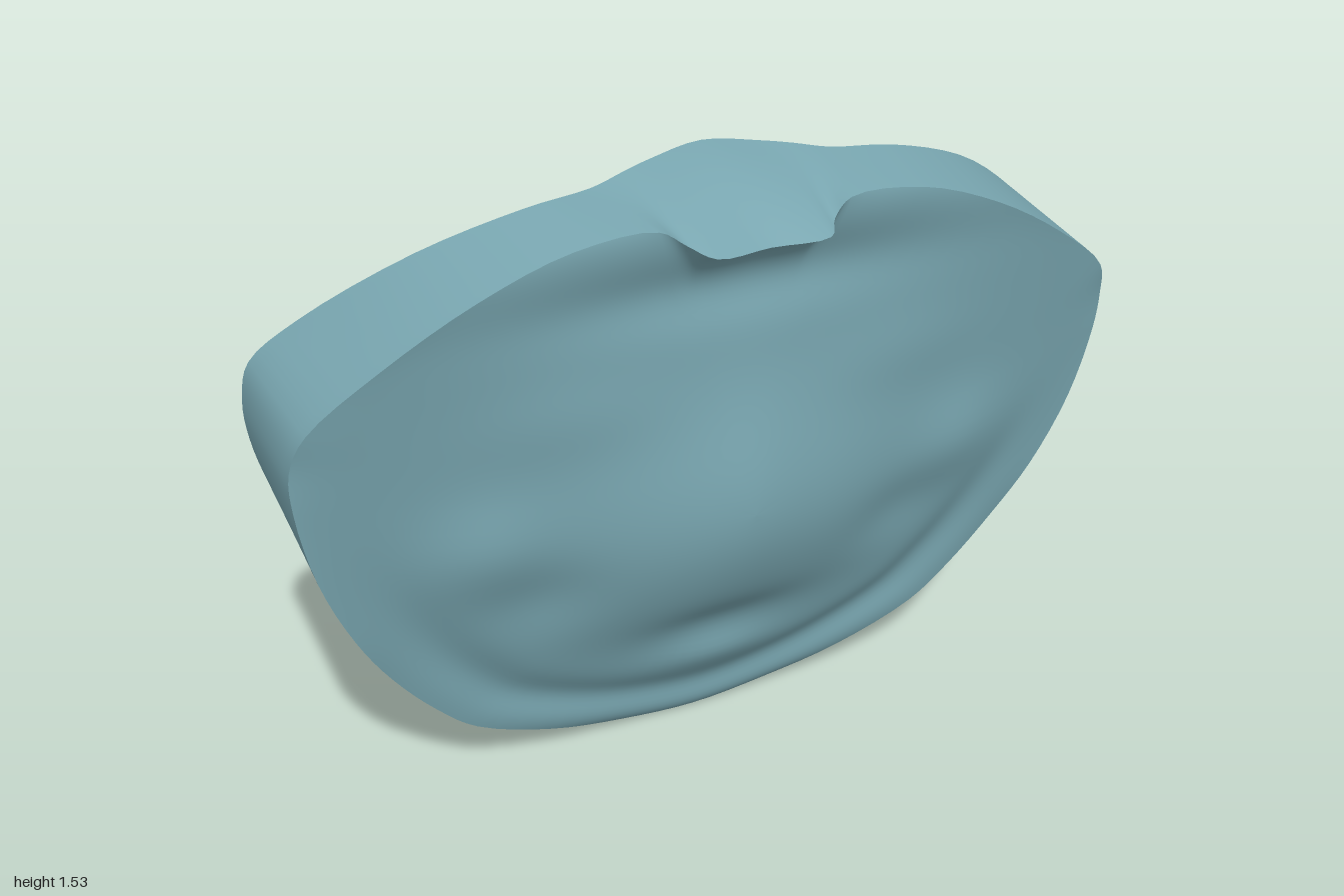
import * as THREE from 'three';

// Right half of each rim, bottom centre to top centre
const FRONT = [
  [0, 0, .01], [.2, .025, .02], [.4, .085, .05], [.6, .185, .08], [.7, .285, .10], [.8, .42, .125],
  [.88, .57, .16], [.95, .76, .19], [.985, .95, .21], [.985, 1.05, .22], [.95, 1.14, .25], [.8, 1.26, .28],
  [.6, 1.375, .30], [.4, 1.445, .305], [.22, 1.455, .31], [.17, 1.425, .33], [.13, 1.41, .385], [0, 1.405, .37],
];
const BACK = [
  [0, .08, -.385], [.2, .10, -.38], [.4, .15, -.37], [.6, .25, -.33], [.7, .34, -.31], [.8, .46, -.28],
  [.88, .60, -.24], [.95, .79, -.19], [.99, .95, -.14], [1, 1.07, -.10], [.98, 1.16, -.08], [.88, 1.25, -.04],
  [.65, 1.40, .07], [.43, 1.475, .12], [.28, 1.49, .11], [.2, 1.505, .09], [.13, 1.515, .07], [0, 1.53, .05],
];

// Relief bumps, mirrored in x: [x, y, height, x radius, y radius]
const FRONT_RELIEF = [
  [0, .66, .145, .5, .36], [0, .82, .015, .12, .25],              // central swell
  [.6, .74, .025, .13, .12], [.45, .58, -.015, .12, .1],          // cheeks and hollows
  [0, 1.3, -.03, .45, .08], [.4, 1.05, .01, .2, .1],              // recess under the top lip
  [0, .36, -.03, .2, .08], [0, .24, .012, .15, .05],              // lower dent and ridge
];
const BACK_RELIEF = [
  [0, .29, .07, .75, .2], [0, .62, .015, .7, .3],                 // lower hollow
  [0, .48, -.02, .1, .09],                                        // lower knob
  [.37, 1.17, -.022, .13, .1], [.3, 1.34, .025, .4, .1],          // upper knobs and hollows
  [.65, 1.0, .02, .12, .16], [.7, 1.15, -.01, .12, .1],
];

function relief(list, x, y) {
  return list.reduce((sum, [cx, cy, h, rx, ry]) =>
    sum + h * Math.exp(-(((Math.abs(x) - cx) / rx) ** 2) - ((y - cy) / ry) ** 2), 0);
}

const frontZ = (x, y) => .04 + .19 * y + relief(FRONT_RELIEF, x, y);
const backZ = (x, y) => -.4 + .27 * y + relief(BACK_RELIEF, x, y);

const SEGMENTS = 136;

// Closed smooth rim, counter-clockwise from the front
function rimPoints(half) {
  const mirrored = half.slice(1, -1).reverse().map(([x, y, z]) => [-x, y, z]);
  const pts = [...half, ...mirrored].map(p => new THREE.Vector3(...p));
  const curve = new THREE.CatmullRomCurve3(pts, true);
  return Array.from({ length: SEGMENTS }, (_, i) => curve.getPoint(i / SEGMENTS));
}

// Joins successive closed loops into one smooth surface
function loft(loops, flip) {
  const positions = [], index = [];
  loops.forEach(loop => loop.forEach(p => positions.push(p.x, p.y, p.z)));
  for (let j = 0; j < loops.length - 1; j++) {
    for (let i = 0; i < SEGMENTS; i++) {
      const a = j * SEGMENTS + i, b = j * SEGMENTS + (i + 1) % SEGMENTS;
      const c = a + SEGMENTS, d = b + SEGMENTS;
      if (flip) index.push(a, d, c, a, b, d);
      else index.push(a, c, d, a, d, b);
    }
  }
  const g = new THREE.BufferGeometry();
  g.setAttribute('position', new THREE.Float32BufferAttribute(positions, 3));
  g.setIndex(index);
  g.computeVertexNormals();
  return g;
}

// Relief face: loops grow from the middle and settle onto the rim,
// with a shallow trough inside its lower half
function faceLoops(rim, height, sharpness, trough) {
  const rings = 40, cy = .75;
  return Array.from({ length: rings + 1 }, (_, j) => {
    const r = 1 - (1 - j / rings) ** 1.5;
    const dip = trough * Math.exp(-(((r - .86) / .08) ** 2)) * (1 - r ** 12);
    return rim.map(p => {
      const x = p.x * r, y = cy + (p.y - cy) * r;
      const low = 1 - THREE.MathUtils.smoothstep(p.y, .2, .9);
      const z = height(x, y) + (p.z - height(p.x, p.y)) * r ** sharpness + dip * low;
      return new THREE.Vector3(x, y, z);
    });
  });
}

// Band between the rims, slightly raised behind the notch at the top
function bandLoops(front, back) {
  const steps = 10;
  return Array.from({ length: steps + 1 }, (_, j) => front.map((f, i) => {
    const p = f.clone().lerp(back[i], j / steps);
    if (f.y > 1.3) p.y += .02 * Math.sin(Math.PI * j / steps) * Math.exp(-((p.x / .16) ** 2));
    return p;
  }));
}

export function createModel() {
  const group = new THREE.Group();
  const teal = new THREE.MeshStandardMaterial({ color: 0x78a5af });
  teal.name = 'dusty teal';

  const front = rimPoints(FRONT), back = rimPoints(BACK);
  const add = (name, geometry) => {
    const mesh = new THREE.Mesh(geometry, teal);
    mesh.name = name;
    group.add(mesh);
  };

  // Sculpted front, smoother back, and the band around the edge
  add('frontFace', loft(faceLoops(front, frontZ, 22, -.03), false));
  add('backFace', loft(faceLoops(back, backZ, 6, 0), true));
  add('sideBand', loft(bandLoops(front, back), false));

  return group;
}
